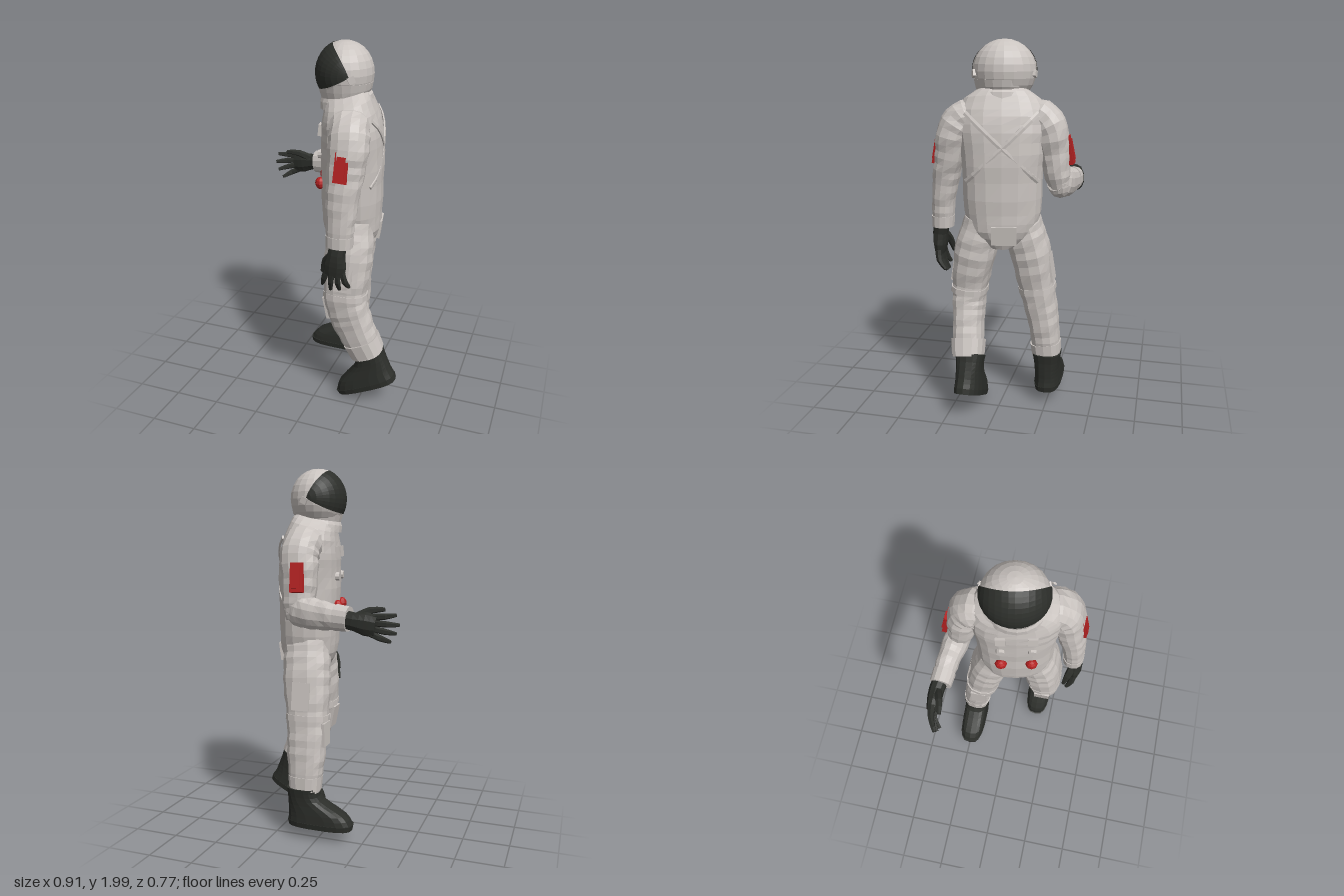
import * as THREE from 'three';

const mat = (color) => new THREE.MeshStandardMaterial({ color, flatShading: true });

// Lofted tube through rings [x, y, z, a, b]; a is the half size along ref, b across it.
// Rings stand square to the path, or to a fixed axis when one is given.
function loft(rings, { ref = [1, 0, 0], axis, sides = 14, steps = 0, power = 2.3, fold = 0 } = {}) {
  const centres = new THREE.CatmullRomCurve3(rings.map((r) => new THREE.Vector3(r[0], r[1], r[2])));
  const sizes = new THREE.CatmullRomCurve3(rings.map((r) => new THREE.Vector3(r[3], r[4], 0)));
  const n = steps || rings.length - 1;
  const pos = [], index = [];
  for (let i = 0; i <= n; i++) {
    const c = centres.getPoint(i / n), s = sizes.getPoint(i / n);
    const t = axis ? new THREE.Vector3(...axis) : centres.getTangent(i / n);
    const u = new THREE.Vector3(...ref).addScaledVector(t, -t.dot(new THREE.Vector3(...ref))).normalize();
    const v = t.clone().cross(u);
    for (let j = 0; j < sides; j++) {
      const q = (j / sides) * Math.PI * 2;
      const e = (w) => Math.sign(w) * Math.abs(w) ** (2 / power);
      const k = 1 + fold * Math.sin(i * 2.4 + 1.3 * Math.sin(q * 2 + i));
      const p = c.clone().addScaledVector(u, s.x * k * e(Math.cos(q))).addScaledVector(v, s.y * k * e(Math.sin(q)));
      pos.push(p.x, p.y, p.z);
    }
  }
  const first = pos.length / 3;
  pos.push(...centres.getPoint(0).toArray(), ...centres.getPoint(1).toArray());
  for (let j = 0; j < sides; j++) {
    const k = (j + 1) % sides, o = n * sides;
    for (let i = 0; i < n; i++) {
      const a = i * sides, b = a + sides;
      index.push(a + j, a + k, b + k, a + j, b + k, b + j);
    }
    index.push(first, k, j, first + 1, o + j, o + k);
  }
  const g = new THREE.BufferGeometry();
  g.setAttribute('position', new THREE.Float32BufferAttribute(pos, 3));
  g.setIndex(index);
  g.computeVertexNormals();
  return g;
}

export function createModel() {
  const model = new THREE.Group();
  const suit = mat(0xcac4c0), dark = mat(0x2c2e2a), red = mat(0xb52222);
  const add = (name, geo, material, parent = model, p = [0, 0, 0], r = [0, 0, 0]) => {
    const m = new THREE.Mesh(geo, material);
    m.name = name;
    m.position.set(...p);
    m.rotation.set(...r);
    parent.add(m);
    return m;
  };
  const box = (x, y, z) => new THREE.BoxGeometry(x, y, z);
  const group = (name, p, r) => {
    const g = new THREE.Group();
    g.name = name;
    g.position.set(...p);
    g.rotation.set(...r);
    model.add(g);
    return g;
  };

  // Upper body, turned a little toward +z
  const body = group('upperBody', [0.14, 0, 0], [0, 0.2, 0]);
  add('torso', loft([
    [0.01, 0.92, 0, 0.11, 0.07], [0.005, 1.0, 0, 0.15, 0.18], [0, 1.12, 0, 0.162, 0.205], [0, 1.35, 0, 0.165, 0.215],
    [-0.003, 1.5, 0, 0.164, 0.23], [-0.012, 1.6, 0, 0.152, 0.24], [-0.025, 1.68, 0, 0.132, 0.215], [-0.04, 1.735, 0, 0.115, 0.14],
  ], { sides: 20, steps: 18, power: 2.5, fold: 0.012 }), suit, body);
  add('collar', loft([
    [-0.035, 1.68, 0, 0.14, 0.165], [-0.04, 1.72, 0, 0.138, 0.147], [-0.043, 1.735, 0, 0.128, 0.135],
    [-0.045, 1.76, 0, 0.136, 0.142], [-0.045, 1.8, 0, 0.143, 0.15],
  ], { sides: 20, power: 2 }), suit, body);

  // Crossed back straps lying on the torso
  for (const s of [-1, 1]) {
    const rings = [];
    for (let i = 0; i <= 10; i++) {
      const z = -0.185 + 0.037 * i;
      const x = 0.159 * (1 - Math.abs(z / 0.228) ** 2.5) ** 0.4;
      rings.push([x, 1.64 - 0.035 * i, z * s, 0.006, 0.014]);
    }
    add('backStrap', loft(rings, { sides: 6 }), suit, body);
  }
  add('backFlap', box(0.02, 0.1, 0.13), suit, body, [0.15, 1.01, -0.01], [0, 0, -0.12]);

  // Chest fittings and red valves
  for (const z of [-0.08, 0.08]) {
    add('chestFitting', box(0.03, 0.06, 0.05), suit, body, [-0.157, 1.56, z], [0, 0, -0.1]);
    add('chestConnector', new THREE.CylinderGeometry(0.022, 0.026, 0.03, 10), suit, body, [-0.16, 1.43, z], [0, 0, Math.PI / 2]);
    add('redValve', new THREE.SphereGeometry(0.033, 8, 6), red, body, [-0.165, 1.27, z]).scale.x = 0.85;
  }

  // Helmet with a wedge-shaped visor whose corners sit behind the ears' line
  const head = group('head', [0.09, 1.84, 0], [0, 0.2, 0]);
  add('helmet', new THREE.SphereGeometry(1, 20, 14), suit, head).scale.set(0.15, 0.16, 0.165);
  const lune = (from, to, k) => {
    const g = new THREE.SphereGeometry(1, 10, 18, from, to - from).rotateX(Math.PI / 2);
    const p = g.attributes.position, v = new THREE.Vector3();
    for (let i = 0; i < p.count; i++) {
      v.fromBufferAttribute(p, i);
      v.x += 0.26 * v.z ** 2;
      v.normalize().multiplyScalar(k);
      p.setXYZ(i, v.x * 0.15, v.y * 0.16, v.z * 0.165);
    }
    return g;
  };
  const rim = suit.clone(), visor = dark.clone();
  rim.side = visor.side = THREE.DoubleSide;
  add('visorRim', lune(-1.24, 0.58, 1.014), rim, head);
  add('visor', lune(-1.15, 0.5, 1.026), visor, head);
  for (const s of [-1, 1]) add('visorHinge', box(0.035, 0.035, 0.016), suit, head, [0.05, -0.012, 0.156 * s], [0, 0.3 * s, 0.4]);

  // Hanging arm on the +z side
  add('leftArm', loft([
    [0.16, 1.62, 0.12, 0.09, 0.07], [0.18, 1.605, 0.19, 0.1, 0.092], [0.195, 1.54, 0.242, 0.104, 0.09], [0.192, 1.42, 0.268, 0.098, 0.08],
    [0.185, 1.3, 0.295, 0.087, 0.07], [0.18, 1.16, 0.315, 0.077, 0.06], [0.178, 1.03, 0.322, 0.066, 0.055],
  ], { steps: 21, fold: 0.035 }), suit);
  add('leftSleeveCuff', loft([[0.178, 1.08, 0.32, 0.073, 0.06], [0.178, 1.02, 0.322, 0.07, 0.058]]), suit);

  // Bent arm on the -z side
  add('rightUpperArm', loft([
    [0.09, 1.62, -0.14, 0.09, 0.07], [0.095, 1.605, -0.2, 0.1, 0.092], [0.1, 1.54, -0.248, 0.102, 0.09], [0.09, 1.42, -0.268, 0.095, 0.08],
    [0.095, 1.31, -0.285, 0.085, 0.068], [0.09, 1.22, -0.3, 0.06, 0.05],
  ], { steps: 17, fold: 0.035 }), suit);
  add('rightForearm', loft([
    [0.14, 1.29, -0.285, 0.06, 0.05], [0.06, 1.265, -0.3, 0.085, 0.068], [-0.06, 1.25, -0.32, 0.074, 0.06], [-0.19, 1.24, -0.332, 0.06, 0.053],
  ], { ref: [0, 1, 0], steps: 12, fold: 0.035 }), suit);
  add('rightSleeveCuff', loft([[-0.13, 1.245, -0.326, 0.069, 0.06], [-0.2, 1.24, -0.332, 0.064, 0.057]], { ref: [0, 1, 0] }), suit);

  // Red arm patches with a raised middle
  for (const [x, z, s] of [[0.19, 0.336, 1], [0.075, -0.344, -1]]) {
    add('armPatch', box(0.07, 0.15, 0.026), red, model, [x, 1.44, z], [-0.2 * s, 0, -0.04]);
    add('armPatchPad', box(0.045, 0.11, 0.04), red, model, [x, 1.44, z], [-0.2 * s, 0, -0.04]);
  }

  // Gloves: built pointing down with the thumb toward -x
  const glove = (name, p, r, inward) => {
    const g = group(name, p, r), o = -inward * 0.012;
    add('palm', loft([
      [0, 0.04, 0, 0.048, 0.042], [0, -0.03, o, 0.047, 0.04], [0, -0.09, o, 0.06, 0.037], [0, -0.145, o, 0.054, 0.026],
    ], { sides: 10, steps: 6 }), dark, g);
    for (let i = 0; i < 4; i++) {
      const x = -0.04 + 0.027 * i, f = (i - 1.4) * 0.02, l = [0.1, 0.122, 0.112, 0.088][i];
      add('finger', loft([
        [x, -0.12, o, 0.017, 0.019], [x + f * 0.5, -0.13 - l * 0.5, o + inward * 0.01, 0.016, 0.017],
        [x + f, -0.13 - l, o + inward * (0.035 + 0.005 * i), 0.009, 0.01],
      ], { sides: 6, steps: 4 }), dark, g);
    }
    add('thumb', loft([
      [-0.025, -0.04, 0, 0.022, 0.022], [-0.065, -0.095, inward * 0.022, 0.019, 0.019], [-0.082, -0.165, inward * 0.04, 0.01, 0.011],
    ], { sides: 6, steps: 4 }), dark, g);
  };
  glove('leftGlove', [0.172, 1.01, 0.328], [-0.04, 0, -0.1], -1);
  glove('rightGlove', [-0.2, 1.235, -0.333], [0, 0, -1.42], 1);

  // Legs, with knee bands, cuffs and thigh pockets
  const legs = {
    left: [[0.165, 1.07, 0.095, 0.12, 0.1], [0.17, 0.9, 0.142, 0.13, 0.11], [0.165, 0.66, 0.18, 0.115, 0.092],
      [0.205, 0.51, 0.177, 0.11, 0.082], [0.295, 0.315, 0.16, 0.09, 0.08]],
    right: [[0.12, 1.07, -0.095, 0.12, 0.1], [0.105, 0.9, -0.143, 0.128, 0.107], [0.085, 0.66, -0.185, 0.112, 0.095],
      [0.08, 0.46, -0.222, 0.102, 0.082], [0.08, 0.27, -0.24, 0.08, 0.073]],
  };
  for (const [side, rings] of Object.entries(legs)) {
    const s = side === 'left' ? 1 : -1, [kx, ky, kz, ka, kb] = rings[2];
    add(side + 'Leg', loft(rings, { steps: 22, power: 2.6, fold: 0.025 }), suit);
    add(side + 'KneeBand', loft([[kx, ky + 0.03, kz - 0.003 * s, ka + 0.006, kb + 0.006], [kx, ky, kz, ka + 0.006, kb + 0.006]], { power: 2.6 }), suit);
    const a = rings[4], b = rings[3], at = (t, d) => a.map((v, i) => (i < 3 ? v + (b[i] - v) * t : a[i] + d));
    add(side + 'LegCuff', loft([at(0.05, 0.006), at(0.45, 0.012)], { power: 2.6 }), suit);
    add(side + 'ThighPocket', box(0.1, 0.15, 0.02), suit, model, [kx + 0.01, ky + 0.14, kz + (kb - 0.022) * s], [-0.16 * s, 0, 0]);
    add(side + 'KneePad', box(0.03, 0.13, 0.09), suit, model, [kx - ka + (s > 0 ? 0.022 : 0.01), ky - 0.07, kz - (s > 0 ? 0 : 0.012)], [0, 0, s > 0 ? 0.2 : 0]);
  }

  // Boots: stacked level outlines from the sole to the ankle opening
  const boot = (name, p, r) => {
    const b = group(name, p, r);
    const level = { axis: [0, 1, 0], sides: 18, power: 2.9 };
    add('sole', loft([[-0.09, 0, 0, 0.182, 0.072], [-0.09, 0.03, 0, 0.187, 0.077]], level), dark, b);
    add('bootUpper', loft([
      [-0.088, 0.028, 0, 0.183, 0.074], [-0.078, 0.07, 0, 0.168, 0.073], [-0.048, 0.105, 0, 0.138, 0.071],
      [-0.008, 0.145, 0, 0.098, 0.07], [0.006, 0.18, 0, 0.086, 0.073], [0.009, 0.218, 0, 0.088, 0.079],
    ], { ...level, steps: 8 }), dark, b);
  };
  boot('leftBoot', [0.373, 0.13, 0.148], [0, 0, 0.45]);
  boot('rightBoot', [0.08, 0.08, -0.243], [0, 0, 0]);

  return model;
}
